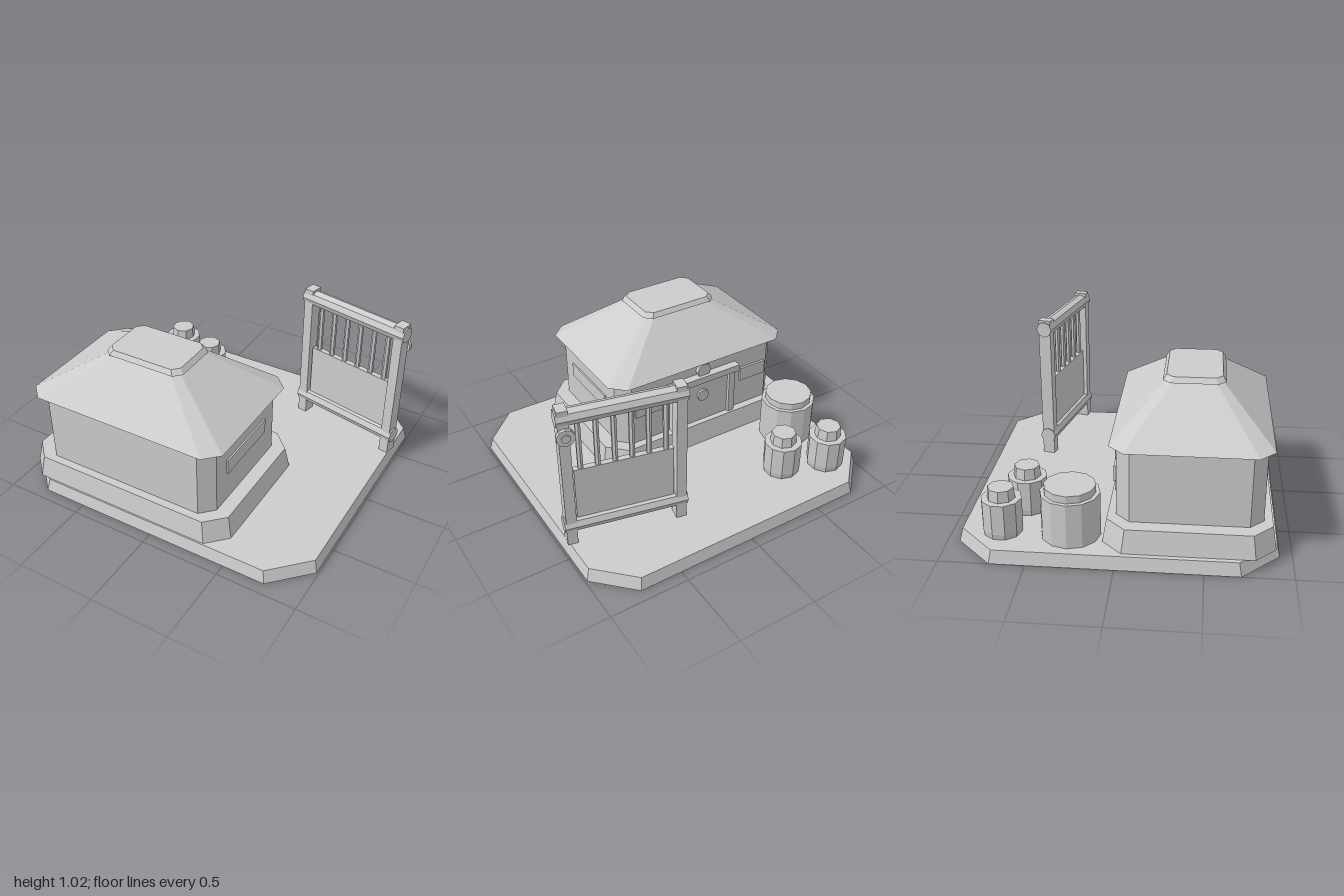
import * as THREE from 'three';

// Two-sided because the lofted shells are open underneath
const grey = new THREE.MeshStandardMaterial({ color: 0xcccccc, side: THREE.DoubleSide });
grey.name = 'plain grey';

// Split faces so that every facet keeps its own normal
function flat(geo) {
  const g = geo.index ? geo.toNonIndexed() : geo;
  g.computeVertexNormals();
  return g;
}

function add(parent, name, geo, x = 0, y = 0, z = 0) {
  const mesh = new THREE.Mesh(flat(geo), grey);
  mesh.name = name;
  mesh.position.set(x, y, z);
  parent.add(mesh);
  return mesh;
}

const box = (w, h, d) => new THREE.BoxGeometry(w, h, d);

// Shell through chamfered rectangles, closed on top and open below: [y, halfX, halfZ, chamfer]
function loft(sections) {
  const rings = sections.map(([y, a, b, c]) => [
    [a, y, b - c], [a, y, c - b], [a - c, y, -b], [c - a, y, -b],
    [-a, y, c - b], [-a, y, b - c], [c - a, y, b], [a - c, y, b],
  ]);
  const pos = [];
  const tri = (...pts) => pts.forEach((p) => pos.push(...p));
  for (let k = 0; k + 1 < rings.length; k++) {
    const lo = rings[k], hi = rings[k + 1];
    for (let i = 0; i < 8; i++) {
      const j = (i + 1) % 8;
      tri(lo[i], lo[j], hi[j]);
      tri(lo[i], hi[j], hi[i]);
    }
  }
  const top = rings[rings.length - 1];
  for (let i = 1; i < 7; i++) tri(top[0], top[i], top[i + 1]);
  const g = new THREE.BufferGeometry();
  g.setAttribute('position', new THREE.Float32BufferAttribute(pos, 3));
  return g;
}

// Closed turned shape from [radius, y] pairs
function turned(profile, sides) {
  const pts = [[0, profile[0][1]], ...profile, [0, profile[profile.length - 1][1]]];
  return new THREE.LatheGeometry(pts.map(([r, y]) => new THREE.Vector2(r, y)), sides);
}

// Disc facing along z
const disc = (r, depth, sides = 8) =>
  new THREE.CylinderGeometry(r, r, depth, sides).rotateX(Math.PI / 2);

function createHouse() {
  const house = new THREE.Group();
  house.name = 'house';
  house.position.set(-0.24, 0, 0.41);
  add(house, 'plinth', loft([[0.08, 0.712, 0.491, 0.118], [0.22, 0.686, 0.468, 0.112]]));
  add(house, 'walls', loft([[0.22, 0.598, 0.418, 0.08], [0.672, 0.598, 0.418, 0.08]]));
  add(house, 'roof', loft([[0.67, 0.655, 0.455, 0.09], [0.935, 0.222, 0.152, 0.035]]));
  add(house, 'roofCap', loft([[0.93, 0.263, 0.18, 0.045], [0.96, 0.239, 0.16, 0.04]]));
  add(house, 'sideWindow', box(0.016, 0.095, 0.448), 0.6, 0.462, 0);

  // Entrance on the back wall
  const wall = -0.418;
  add(house, 'door', box(0.42, 0.32, 0.02), 0, 0.38, wall - 0.003);
  add(house, 'lintel', box(0.525, 0.045, 0.055), 0, 0.56, wall - 0.026);
  for (const s of [-1, 1]) {
    add(house, 'doorPost', box(0.045, 0.32, 0.04), s * 0.22, 0.38, wall - 0.015);
    add(house, 'backWindow', box(0.2, 0.095, 0.026), s * 0.4, 0.468, wall - 0.002);
  }
  add(house, 'lintelDisc', disc(0.05, 0.026), 0, 0.615, wall - 0.018);
  add(house, 'doorDisc', disc(0.043, 0.02), 0, 0.422, wall - 0.018);
  return house;
}

function createGate() {
  const gate = new THREE.Group();
  gate.name = 'gate';
  gate.position.set(0.618, 0, -0.506);
  gate.rotation.y = -0.21;
  for (const s of [-1, 1]) {
    add(gate, 'gatePost', box(0.062, 0.945, 0.08), s * 0.334, 0.5525, 0);
  }
  // Octagonal rails passing through both posts, ends standing proud
  for (const y of [0.21, 0.965]) {
    const rail = new THREE.CylinderGeometry(0.051, 0.051, 0.748, 8);
    add(gate, 'gateRail', rail.rotateZ(Math.PI / 2), 0, y, 0);
  }
  add(gate, 'gatePanel', box(0.586, 0.37, 0.035), 0, 0.415, 0);
  for (let i = 0; i < 6; i++) {
    const bar = new THREE.CylinderGeometry(0.017, 0.017, 0.36, 6);
    add(gate, 'gateBar', bar, (i - 2.5) * 0.1, 0.76, 0);
  }
  // Round fitting on the back of one post
  add(gate, 'fittingDisc', disc(0.054, 0.022, 10), 0.328, 0.862, -0.048);
  add(gate, 'fittingBoss', disc(0.026, 0.01, 10), 0.328, 0.862, -0.062);
  return gate;
}

function createJars() {
  const jars = new THREE.Group();
  jars.name = 'jars';
  add(jars, 'barrel', turned([[0.174, 0.08], [0.174, 0.355]], 12), -0.757, 0, -0.271);
  add(jars, 'barrelLid', turned([[0.15, 0.35], [0.15, 0.4]], 12), -0.757, 0, -0.271);
  for (const [x, z] of [[-0.767, -0.668], [-0.487, -0.572]]) {
    add(jars, 'jarBody', turned([[0.112, 0.08], [0.119, 0.115], [0.119, 0.302]], 10), x, 0, z);
    add(jars, 'jarNeck', turned([[0.083, 0.3], [0.076, 0.37]], 8), x, 0, z);
  }
  return jars;
}

export function createModel() {
  const model = new THREE.Group();
  model.name = 'courtyard';
  add(model, 'basePlatform', loft([[0, 0.994, 0.929, 0.222], [0.08, 0.975, 0.91, 0.217]]), -0.006, 0, 0);
  model.add(createHouse(), createGate(), createJars());
  return model;
}
